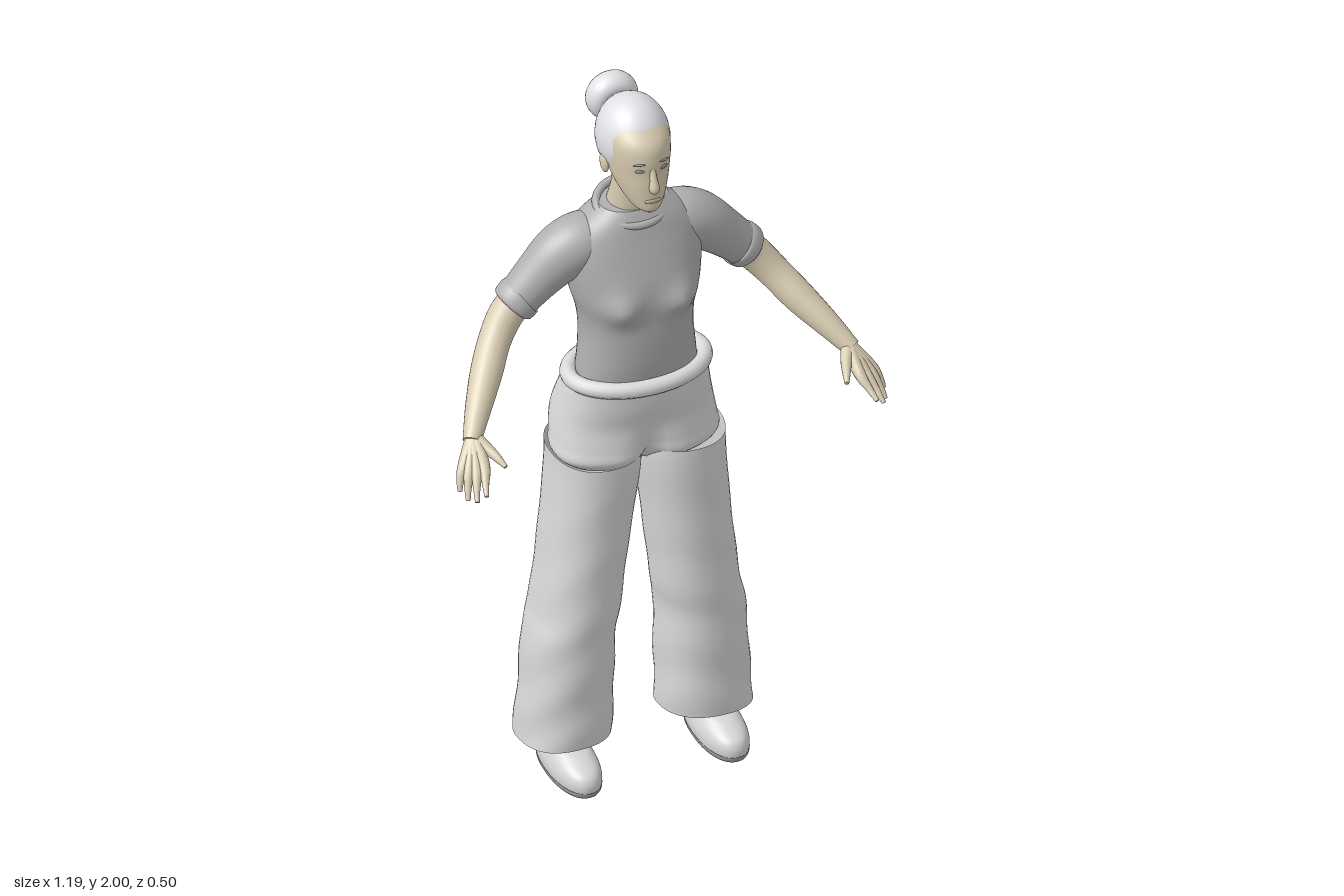
import * as THREE from 'three';

const mat = (name, color, side = THREE.FrontSide) => {
  const m = new THREE.MeshStandardMaterial({ color, side });
  m.name = name;
  return m;
};

// Skin a list of closed rings (each wound anticlockwise about the direction of travel)
function skin(rings, caps = true) {
  const n = rings[0].length, pos = [], idx = [];
  rings.forEach(r => r.forEach(p => pos.push(p.x, p.y, p.z)));
  for (let i = 0; i < rings.length - 1; i++) {
    for (let j = 0; j < n; j++) {
      const k = (j + 1) % n, a = i * n + j, b = i * n + k;
      idx.push(a, b, b + n, a, b + n, a + n);
    }
  }
  if (caps) {
    [0, rings.length - 1].forEach(i => {
      const c = new THREE.Vector3();
      rings[i].forEach(p => c.addScaledVector(p, 1 / n));
      const first = pos.length / 3;
      rings[i].forEach(p => pos.push(p.x, p.y, p.z));
      pos.push(c.x, c.y, c.z);
      for (let j = 0; j < n; j++) {
        const a = first + j, b = first + (j + 1) % n;
        if (i) idx.push(first + n, a, b); else idx.push(first + n, b, a);
      }
    });
  }
  const g = new THREE.BufferGeometry();
  g.setAttribute('position', new THREE.Float32BufferAttribute(pos, 3));
  g.setIndex(idx);
  g.computeVertexNormals();
  return g;
}

// Smoothly interpolate rows of numbers
function smooth(rows, t) {
  const f = t * (rows.length - 1), i = Math.min(Math.floor(f), rows.length - 2), u = f - i;
  const at = k => rows[Math.max(0, Math.min(rows.length - 1, k))];
  return rows[i].map((_, c) => {
    const p0 = at(i - 1)[c], p1 = at(i)[c], p2 = at(i + 1)[c], p3 = at(i + 2)[c];
    const m1 = (p2 - p0) / 2, m2 = (p3 - p1) / 2, d = p2 - p1;
    return p1 + u * (m1 + u * (3 * d - 2 * m1 - m2 + u * (m1 + m2 - 2 * d)));
  });
}

// Upright body: sections [y, centre x, half width, front z, back z], lowest first
function stack(sections, { power = 2, deform, caps = true, n = 48, steps = 6 } = {}) {
  const count = (sections.length - 1) * steps, rings = [];
  const pw = v => Math.sign(v) * Math.abs(v) ** (2 / power);
  for (let i = 0; i <= count; i++) {
    const [y, cx, hw, zf, zb] = smooth(sections, i / count), ring = [];
    for (let j = 0; j < n; j++) {
      const t = j / n * Math.PI * 2;
      const p = new THREE.Vector3(cx + hw * pw(Math.cos(t)), y, (zf + zb) / 2 - (zf - zb) / 2 * pw(Math.sin(t)));
      if (deform) deform(p, t, cx);
      ring.push(p);
    }
    rings.push(ring);
  }
  return skin(rings, caps);
}

// Tapered limb: rows [x, y, z, radius]
function limb(rows, n = 20, steps = 6, caps = true) {
  const count = (rows.length - 1) * steps, rings = [], ref = new THREE.Vector3(0.1, 0.1, 1).normalize();
  const pt = t => new THREE.Vector3(...smooth(rows, Math.max(0, Math.min(1, t))).slice(0, 3));
  for (let i = 0; i <= count; i++) {
    const t = i / count, c = pt(t), r = smooth(rows, t)[3];
    const T = pt(t + 0.01).sub(pt(t - 0.01)).normalize();
    const u = new THREE.Vector3().crossVectors(T, ref).normalize();
    const v = new THREE.Vector3().crossVectors(T, u);
    rings.push(Array.from({ length: n }, (_, j) => {
      const a = j / n * Math.PI * 2;
      return c.clone().addScaledVector(u, r * Math.cos(a)).addScaledVector(v, r * Math.sin(a));
    }));
  }
  return skin(rings, caps);
}

// Closed hoop around the body; lift raises the back and lowers the front
function hoop(rx, rz, y, z, lift, r) {
  const pts = Array.from({ length: 32 }, (_, i) => {
    const a = i / 32 * Math.PI * 2;
    return new THREE.Vector3(rx * Math.cos(a), y - lift * Math.sin(a), z + rz * Math.sin(a));
  });
  return new THREE.TubeGeometry(new THREE.CatmullRomCurve3(pts, true), 72, r, 12, true);
}

export function createModel() {
  const root = new THREE.Group();
  const skinMat = mat('skin', 0xd8ccb2), shirt = mat('shirt', 0xb0b0b0, THREE.DoubleSide);
  const trousers = mat('trousers', 0xdadada, THREE.DoubleSide), hair = mat('hair', 0xe2e2e6);
  const shoe = mat('shoe', 0xd6d6d6), sole = mat('sole', 0xa0a0a0);
  const eye = mat('eye', 0x7d8890), brow = mat('brow', 0x9a8f80), lip = mat('lip', 0xb89f8e);
  const add = (name, geo, m) => {
    const mesh = new THREE.Mesh(geo, m);
    mesh.name = name;
    root.add(mesh);
    return mesh;
  };
  const blob = (name, m, p, s) => {
    const b = add(name, new THREE.SphereGeometry(1, 32, 24), m);
    b.position.set(...p);
    b.scale.set(...s);
    return b;
  };

  // Shirt body with bust and a shallow spine groove
  add('shirtBody', stack([
    [1.185, 0, 0.162, 0.055, -0.165], [1.25, 0, 0.154, 0.062, -0.168], [1.32, 0, 0.149, 0.064, -0.178],
    [1.38, 0, 0.154, 0.062, -0.187], [1.44, 0, 0.17, 0.06, -0.196], [1.5, 0, 0.18, 0.05, -0.2],
    [1.56, 0, 0.183, 0.03, -0.197], [1.61, 0, 0.17, 0.012, -0.187], [1.65, 0, 0.135, -0.002, -0.172],
    [1.685, 0, 0.088, -0.02, -0.155]], {
    power: 2.3,
    deform: p => {
      if (p.z > -0.03) p.z += 0.03 * Math.exp(-(((Math.abs(p.x) - 0.085) / 0.045) ** 2) - ((p.y - 1.435) / 0.045) ** 2);
      else p.z += 0.012 * Math.exp(-((p.x / 0.03) ** 2)) * Math.max(0, Math.min(1, (1.62 - p.y) * 10));
    } }), shirt);
  add('collar', hoop(0.093, 0.078, 1.672, -0.083, 0.024, 0.011), shirt);

  // Neck and head
  add('neck', limb([[0, 1.64, -0.095, 0.07], [0, 1.69, -0.083, 0.062], [0, 1.74, -0.072, 0.057], [0, 1.8, -0.07, 0.055]], 28), skinMat);
  add('head', stack([
    [1.722, 0, 0.016, 0.05, 0.01], [1.735, 0, 0.038, 0.06, -0.04], [1.765, 0, 0.057, 0.061, -0.09],
    [1.8, 0, 0.071, 0.061, -0.13], [1.84, 0, 0.08, 0.058, -0.15], [1.88, 0, 0.084, 0.058, -0.16],
    [1.92, 0, 0.082, 0.047, -0.16], [1.955, 0, 0.066, 0.01, -0.14], [1.985, 0, 0.035, -0.03, -0.1]]), skinMat);
  const nose = add('nose', limb([[0, 1.86, 0.05, 0.008], [0, 1.83, 0.062, 0.01], [0, 1.805, 0.067, 0.014], [0, 1.793, 0.06, 0.007]], 16), skinMat);
  nose.castShadow = false;
  blob('lips', lip, [0, 1.763, 0.058], [0.023, 0.007, 0.007]);
  for (const s of [-1, 1]) {
    blob('eye', eye, [s * 0.033, 1.856, 0.049], [0.013, 0.006, 0.004]).rotation.y = s * 0.35;
    const b = blob('eyebrow', brow, [s * 0.034, 1.876, 0.049], [0.017, 0.003, 0.004]);
    b.rotation.set(0, s * 0.35, -s * 0.1);
    blob('ear', skinMat, [s * 0.084, 1.832, -0.062], [0.011, 0.03, 0.018]).rotation.x = -0.2;
  }

  // Swept-back hair and ring-shaped bun
  blob('hairCap', hair, [0, 1.885, -0.076], [0.095, 0.115, 0.11]);
  const bun = add('hairBun', new THREE.TorusGeometry(0.04, 0.03, 20, 40), hair);
  bun.position.set(0, 1.92, -0.212);
  bun.rotation.x = 0.1;
  bun.scale.z = 1.25;
  blob('bunCore', hair, [0, 1.92, -0.2], [0.03, 0.03, 0.03]);

  // Hips with centre cleft, and rolled waistband
  add('hips', stack([
    [0.925, 0, 0.19, 0.03, -0.16], [0.96, 0, 0.224, 0.064, -0.195], [1.0, 0, 0.222, 0.063, -0.216],
    [1.06, 0, 0.213, 0.058, -0.228], [1.12, 0, 0.2, 0.066, -0.212], [1.185, 0, 0.187, 0.07, -0.18]], {
    power: 2.4,
    deform: p => {
      const low = Math.max(0, Math.min(1, (1.13 - p.y) / 0.17));
      const pinch = Math.exp(-((p.x / 0.035) ** 2)) * low * (p.z < -0.06 ? 0.35 : 0.4 * low);
      p.z = -0.065 + (p.z + 0.065) * (1 - pinch);
    } }), trousers);
  add('waistband', hoop(0.183, 0.12, 1.19, -0.052, 0, 0.022), trousers);

  for (const s of [-1, 1]) {
    // Wide trouser leg with soft folds and a hem dipping at the back
    add('trouserLeg', stack([
      [0.968, s * 0.117, 0.117, 0.078, -0.203], [0.9, s * 0.12, 0.116, 0.078, -0.2], [0.7, s * 0.142, 0.11, 0.072, -0.198],
      [0.5, s * 0.165, 0.11, 0.068, -0.198], [0.4, s * 0.181, 0.113, 0.064, -0.2], [0.2, s * 0.19, 0.119, 0.058, -0.2],
      [0.085, s * 0.197, 0.122, 0.055, -0.205]].reverse(), {
      power: 2.3, caps: false, steps: 8,
      deform: (p, t, cx) => {
        const w = 1 + 0.022 * (1 - p.y) * Math.sin(p.y * 34 + 2 * s * Math.cos(t) + 3 * Math.sin(t));
        p.x = cx + (p.x - cx) * w;
        p.z = -0.068 + (p.z + 0.068) * w;
        if (p.y < 0.3) p.y += (p.z + 0.07) * 0.12 * (0.3 - p.y) / 0.2;
      } }), trousers);

    // Shoe
    const x = s * 0.205;
    add('shoeSole', stack([[0, x, 0.06, 0.128, -0.148], [0.008, x, 0.064, 0.134, -0.154], [0.018, x, 0.065, 0.136, -0.155]],
      { power: 2.2, steps: 3 }), sole);
    add('shoeUpper', stack([[0.016, x, 0.064, 0.135, -0.154], [0.04, x, 0.064, 0.134, -0.152], [0.062, x, 0.058, 0.118, -0.15],
      [0.082, x, 0.05, 0.07, -0.148], [0.1, x, 0.043, 0.02, -0.145], [0.15, x, 0.04, 0, -0.14]], { power: 2.2 }), shoe);

    // Sleeve and cuff
    const m = rows => rows.map(([a, ...rest]) => [s * a, ...rest]);
    add('sleeve', limb(m([[0.07, 1.59, -0.09, 0.06], [0.13, 1.582, -0.092, 0.077], [0.19, 1.555, -0.095, 0.076],
      [0.255, 1.5, -0.096, 0.064], [0.322, 1.435, -0.095, 0.054]]), 32), shirt);
    add('sleeveCuff', limb(m([[0.3, 1.456, -0.095, 0.055], [0.305, 1.452, -0.095, 0.061], [0.322, 1.435, -0.095, 0.06],
      [0.328, 1.429, -0.095, 0.054]]), 32, 4), shirt);

    // Arm
    add('arm', limb(m([[0.29, 1.47, -0.095, 0.045], [0.345, 1.41, -0.09, 0.046], [0.39, 1.355, -0.062, 0.043],
      [0.435, 1.3, -0.01, 0.042], [0.485, 1.245, 0.055, 0.034], [0.528, 1.195, 0.115, 0.024]]), 24), skinMat);

    // Fingers share the wrist so that their roots form the palm
    const fingers = [
      [[0.522, 1.158, 0.18], [0.534, 1.13, 0.218], [0.543, 1.11, 0.247]],
      [[0.541, 1.15, 0.177], [0.556, 1.118, 0.212], [0.565, 1.092, 0.238]],
      [[0.557, 1.147, 0.167], [0.573, 1.112, 0.195], [0.58, 1.085, 0.213]],
      [[0.568, 1.148, 0.152], [0.584, 1.118, 0.17], [0.589, 1.096, 0.18]]];
    fingers.forEach(([k, mid, tip]) => add('finger', limb(m([[0.52, 1.203, 0.105, 0.02], [...k, 0.0155], [...mid, 0.0095],
      [...tip, 0.006]]), 12), skinMat));
    add('thumb', limb(m([[0.52, 1.2, 0.11, 0.02], [0.498, 1.183, 0.15, 0.015], [0.485, 1.172, 0.182, 0.011],
      [0.474, 1.16, 0.21, 0.006]]), 12), skinMat);
  }
  return root;
}
